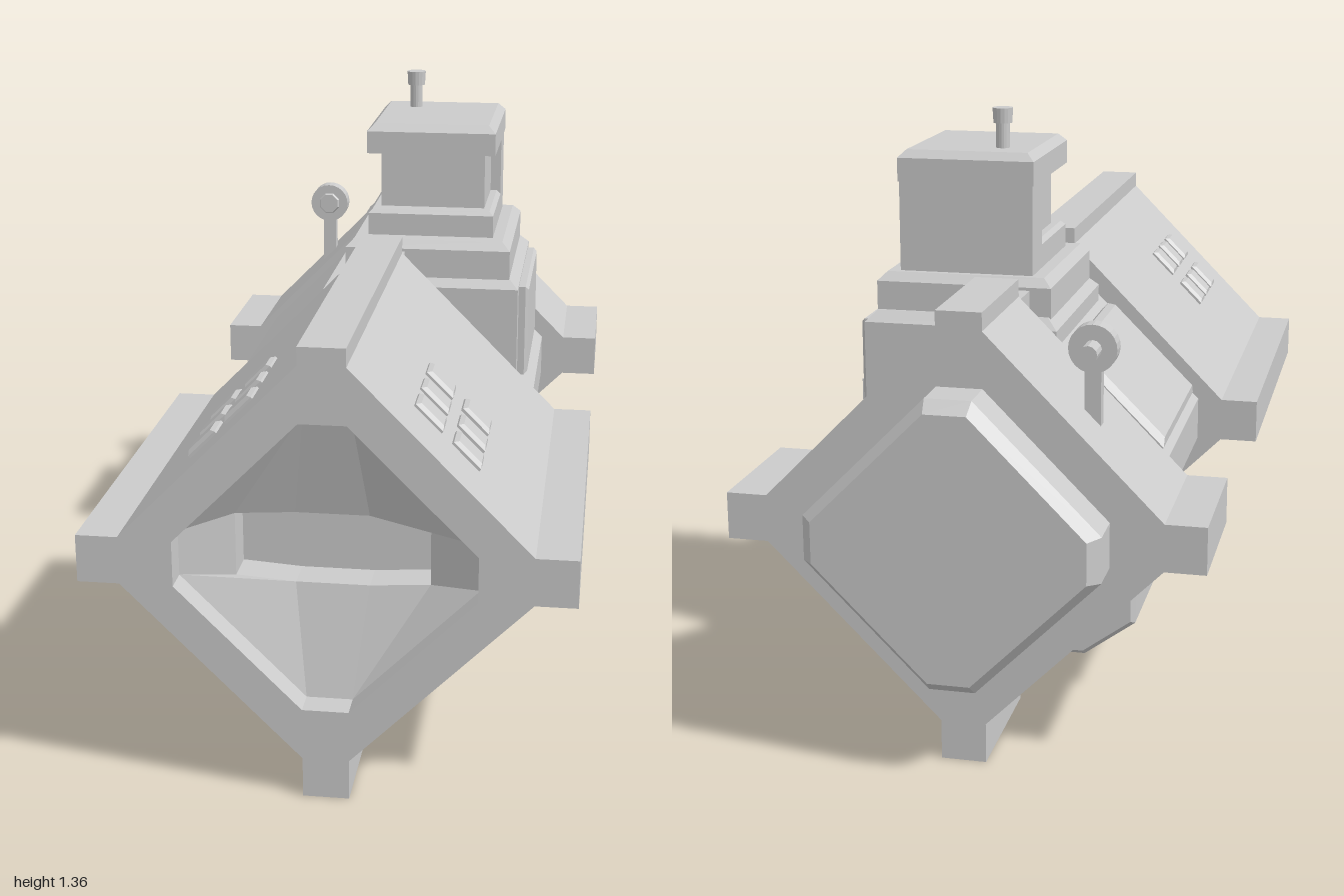
import * as THREE from 'three';

const material = new THREE.MeshStandardMaterial({ color: 0xcccccc, flatShading: true, side: THREE.DoubleSide });

function add(parent, name, geometry, x = 0, y = 0, z = 0) {
  const mesh = new THREE.Mesh(geometry, material);
  mesh.name = name;
  mesh.position.set(x, y, z);
  parent.add(mesh);
  return mesh;
}

// Skin through rings of equal point count; the last ring is always capped.
function loft(rings, capStart = true) {
  const pos = [];
  const tri = (...pts) => pts.forEach((p) => pos.push(...p));
  for (let r = 0; r < rings.length - 1; r++) {
    const a = rings[r], b = rings[r + 1], n = a.length;
    for (let i = 0; i < n; i++) {
      const j = (i + 1) % n;
      tri(a[i], a[j], b[j]);
      tri(a[i], b[j], b[i]);
    }
  }
  const first = rings[0], last = rings[rings.length - 1];
  for (let i = 1; i < last.length - 1; i++) {
    tri(last[0], last[i], last[i + 1]);
    if (capStart) tri(first[0], first[i + 1], first[i]);
  }
  const g = new THREE.BufferGeometry();
  g.setAttribute('position', new THREE.Float32BufferAttribute(pos, 3));
  g.computeVertexNormals();
  return g;
}

// Box with a chamfered upper rim, given by its limits.
function chamferBox(x0, x1, y0, y1, z0, z1, bevel, drop = bevel) {
  const ring = (y, i) => [[x0 + i, y, z1 - i], [x1 - i, y, z1 - i], [x1 - i, y, z0 + i], [x0 + i, y, z0 + i]];
  return loft([ring(y0, 0), ring(y1 - drop, 0), ring(y1, bevel)]);
}

// Chamfered plate centred on its base, rising along +y.
const plate = (w, h, d, bevel) => chamferBox(-w / 2, w / 2, -0.02, h, -d / 2, d / 2, bevel);

// Mirror a right-hand half outline (listed bottom to top) into a closed outline.
const mirrored = (half) => [...half, ...half.map(([x, y]) => [-x, y]).reverse()];
const toShape = (pts) => new THREE.Shape(pts.map(([x, y]) => new THREE.Vector2(x, y)));

function extrude(shape, z0, z1, bevel = 0) {
  const g = new THREE.ExtrudeGeometry(shape, {
    depth: z1 - z0 - 2 * bevel, bevelEnabled: bevel > 0, bevelSize: bevel,
    bevelThickness: bevel, bevelOffset: -bevel, bevelSegments: 1,
  });
  return g.translate(0, 0, z0 + bevel);
}

export function createModel() {
  const model = new THREE.Group();
  model.name = 'ship';

  // Diamond hull with four corner ribs
  const hull = mirrored([[0.05, 0], [0.05, 0.09], [0.435, 0.475], [0.525, 0.475],
    [0.525, 0.58], [0.435, 0.58], [0.05, 0.97], [0.05, 1.01]]);
  const octagon = mirrored([[0.05, 0.205], [0.32, 0.475], [0.32, 0.575], [0.05, 0.847]]);
  const frontShape = toShape(hull);
  frontShape.holes.push(new THREE.Path(octagon.map(([x, y]) => new THREE.Vector2(x, y))));
  add(model, 'frontHull', extrude(frontShape, 0.07, 1));
  add(model, 'rearHull', extrude(toShape(hull), -0.88, -0.55));

  // Narrower waist with a top rib
  const waist = mirrored([[0.05, 0.15], [0.375, 0.475], [0.375, 0.58], [0.05, 0.905], [0.05, 0.96]]);
  add(model, 'waist', extrude(toShape(waist), -0.55, 0.07));

  // Funnel in the nose leading to a bowed slot
  const slot = mirrored([[0.08, 0.446], [0.21, 0.455], [0.21, 0.597], [0.08, 0.606]]);
  const at = (pts, z) => pts.map(([x, y]) => [x, y, z]);
  add(model, 'noseFunnel', loft([at(octagon, 0.94), at(slot, 0.88), at(slot, 0.8)], false));

  // Chamfered cap on the tail
  const small = octagon.map(([x, y]) => [x * 0.92, 0.526 + (y - 0.526) * 0.92]);
  add(model, 'tailCap', loft([at(small, -1), at(octagon, -0.97), at(octagon, -0.87)]));

  // Belly block under the waist
  const belly = mirrored([[0.19, 0.097], [0.31, 0.185], [0.31, 0.42], [0.2, 0.45]]);
  add(model, 'bellyBlock', extrude(toShape(belly), -0.49, 0.067, 0.01));

  // Vent tiles on both upper slopes
  for (const side of [-1, 1]) {
    for (const x of [0.2, 0.28]) {
      for (const z of [0.825, 0.718, 0.611]) {
        const tile = add(model, 'ventTile', plate(0.082, 0.012, 0.07, 0.008), side * x, 1.02 - x, z);
        tile.rotation.z = -side * Math.PI / 4;
      }
    }
  }

  // Panel on the right waist slope
  const panel = add(model, 'slopePanel', plate(0.31, 0.035, 0.48, 0.015), -0.245, 0.71, -0.23);
  panel.rotation.z = Math.PI / 4;

  // Stepped turret base with a side panel
  const turret = new THREE.Group();
  turret.name = 'turret';
  model.add(turret);
  add(turret, 'turretFoot', chamferBox(-0.12, 0.335, 0.61, 0.9, -0.475, 0.035, 0.025));
  add(turret, 'turretStep', chamferBox(-0.1, 0.312, 0.88, 0.987, -0.445, 0.015, 0.02));
  const window = add(turret, 'sidePanel', plate(0.23, 0.025, 0.41, 0.008), 0.335, 0.755, -0.22);
  window.rotation.z = -Math.PI / 2;

  // Turret cab: floor, inset core, rear wall and roof
  add(turret, 'cabFloor', chamferBox(-0.05, 0.265, 0.98, 1.052, -0.41, -0.045, 0.01));
  add(turret, 'cabCore', new THREE.BoxGeometry(0.262, 0.17, 0.25), 0.108, 1.125, -0.215);
  add(turret, 'cabRearWall', new THREE.BoxGeometry(0.315, 0.17, 0.1), 0.1075, 1.125, -0.36);
  add(turret, 'cabRoof', chamferBox(-0.053, 0.268, 1.195, 1.268, -0.412, -0.042, 0.018));

  // Roof antenna
  add(turret, 'antennaStem', new THREE.CylinderGeometry(0.016, 0.016, 0.07, 16), 0.04, 1.295, -0.32);
  add(turret, 'antennaHead', new THREE.CylinderGeometry(0.024, 0.022, 0.035, 16), 0.04, 1.343, -0.32);

  // Lamp on a post above the rear hull
  const lamp = new THREE.Group();
  lamp.name = 'lamp';
  lamp.position.set(-0.257, 0.912, -0.733);
  model.add(lamp);
  add(lamp, 'lampPost', new THREE.BoxGeometry(0.036, 0.18, 0.03), 0, -0.12, 0);
  const disc = new THREE.CylinderGeometry(0.053, 0.053, 0.04, 24).rotateX(Math.PI / 2);
  add(lamp, 'lampDisc', disc);
  const lens = new THREE.CylinderGeometry(0.027, 0.032, 0.008, 8).rotateY(Math.PI / 8).rotateX(Math.PI / 2);
  add(lamp, 'lampLens', lens, 0, 0, 0.022);
  const knob = new THREE.CylinderGeometry(0.02, 0.02, 0.06, 12).rotateX(Math.PI / 2);
  add(lamp, 'lampKnob', knob, 0, 0, -0.043);

  return model;
}
